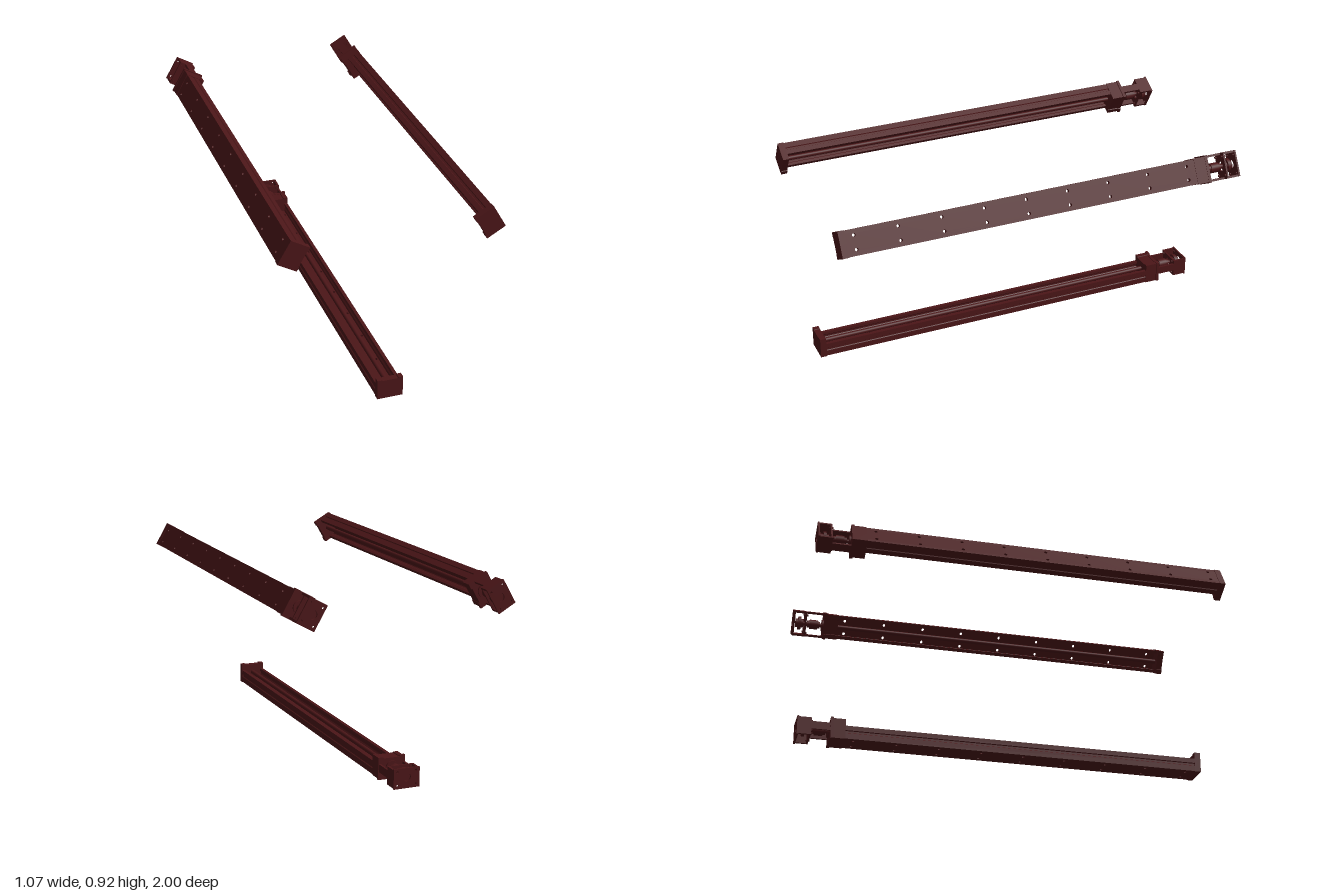
import * as THREE from 'three';

const mat = new THREE.MeshStandardMaterial({ color: 0x4c1618 });

function add(parent, name, geo, x = 0, y = 0, z = 0) {
  const m = new THREE.Mesh(geo, mat);
  m.name = name;
  m.position.set(x, y, z);
  parent.add(m);
  return m;
}

// box given by its limits on each axis
function box(parent, name, x0, x1, y0, y1, z0, z1) {
  return add(parent, name, new THREE.BoxGeometry(x1 - x0, y1 - y0, z1 - z0),
    (x0 + x1) / 2, (y0 + y1) / 2, (z0 + z1) / 2);
}

// cylinder along z between z0 and z1
function rod(parent, name, r, z0, z1, y, x = 0, sides = 24) {
  const g = new THREE.CylinderGeometry(r, r, z1 - z0, sides).rotateX(Math.PI / 2);
  return add(parent, name, g, x, y, (z0 + z1) / 2);
}

// outline mirrored in x, extruded along z
function mirroredExtrude(half, z0, z1) {
  const pts = [...half, ...half.map(([x, y]) => [-x, y]).reverse()];
  const shape = new THREE.Shape(pts.map(p => new THREE.Vector2(...p)));
  return new THREE.ExtrudeGeometry(shape, { depth: z1 - z0, bevelEnabled: false }).translate(0, 0, z0);
}

function hole(x, y, r) {
  return new THREE.Path().absarc(x, y, r, 0, Math.PI * 2, true);
}

// flat plate in the xy plane with round holes
function plate(parent, name, w, y0, y1, z0, z1, holes) {
  const s = new THREE.Shape([[-w, y0], [w, y0], [w, y1], [-w, y1]].map(p => new THREE.Vector2(...p)));
  holes.forEach(h => s.holes.push(hole(...h)));
  add(parent, name, new THREE.ExtrudeGeometry(s, { depth: z1 - z0, bevelEnabled: false, curveSegments: 10 }), 0, 0, z0);
}

const SCREW_Y = 0.056;

function createActuator() {
  const g = new THREE.Group();
  const z0 = -0.775, z1 = 0.97;

  // bed of the channel, with two rows of through holes
  const bed = new THREE.Shape([[-0.05, z0], [0.05, z0], [0.05, z1], [-0.05, z1]].map(p => new THREE.Vector2(...p)));
  for (let i = 0; i < 9; i++)
    for (const s of [-1, 1]) bed.holes.push(hole(s * 0.033, 0.93 - i * 0.207, 0.008));
  const bedGeo = new THREE.ExtrudeGeometry(bed, { depth: 0.018, bevelEnabled: false, curveSegments: 8 });
  add(g, 'railBed', bedGeo.rotateX(Math.PI / 2), 0, 0.022, 0);

  // side walls with a ball track inside and a slot outside
  for (const s of [-1, 1]) {
    const pts = [[0.045, 0.004], [0.06, 0.004], [0.06, 0.032], [0.056, 0.035], [0.056, 0.044], [0.06, 0.047],
      [0.06, 0.07], [0.044, 0.07], [0.044, 0.056], [0.049, 0.05], [0.049, 0.042], [0.044, 0.036], [0.044, 0.022]];
    const shape = new THREE.Shape(pts.map(([x, y]) => new THREE.Vector2(s * x, y)));
    add(g, 'railWall', new THREE.ExtrudeGeometry(shape, { depth: z1 - z0, bevelEnabled: false }), 0, 0, z0);
  }
  rod(g, 'leadScrew', 0.011, -0.78, 0.975, SCREW_Y);

  // end housings: outer corners stand slightly above the middle
  const housing = [[0, 0.002], [0.062, 0.002], [0.062, 0.102], [0.04, 0.102], [0.038, 0.098], [0, 0.098]];
  add(g, 'endPlate', mirroredExtrude(housing, 0.97, 1));
  add(g, 'bearingHousing', mirroredExtrude(housing, -0.83, -0.77));
  add(g, 'mountingFlange', mirroredExtrude(
    [[0, 0], [0.067, 0], [0.067, 0.106], [0.041, 0.106], [0.039, 0.1], [0, 0.1]], -0.842, -0.828));
  rod(g, 'bearingCap', 0.03, -0.85, -0.84, SCREW_Y);

  // motor bracket: two arms, a front plate and a shallow open frame
  for (const s of [-1, 1]) {
    const a = s * 0.054, b = s * 0.064;
    box(g, 'bracketArm', Math.min(a, b), Math.max(a, b), 0.038, 0.076, -0.935, -0.84);
    box(g, 'frameSide', Math.min(a, b), Math.max(a, b), 0.008, 0.094, -1, -0.935);
    // bolts holding the frame
    for (const y of [0.02, 0.084]) rod(g, 'frameBolt', 0.005, -0.945, -0.925, y, s * 0.045, 8);
  }
  plate(g, 'frameFront', 0.064, 0.008, 0.094, -0.94, -0.932, [[0, SCREW_Y, 0.024]]);
  plate(g, 'motorPlate', 0.064, 0.004, 0.098, -1, -0.992,
    [[0, SCREW_Y, 0.02], [0.045, 0.02, 0.005], [-0.045, 0.02, 0.005], [0.045, 0.084, 0.005], [-0.045, 0.084, 0.005]]);

  // shaft coupling
  rod(g, 'driveShaft', 0.01, -0.985, -0.84, SCREW_Y);
  rod(g, 'couplingHub', 0.024, -0.912, -0.872, SCREW_Y);
  rod(g, 'couplingCollar', 0.018, -0.925, -0.86, SCREW_Y);
  rod(g, 'couplingDisc', 0.034, -0.972, -0.958, SCREW_Y);
  rod(g, 'couplingDisc', 0.022, -0.985, -0.945, SCREW_Y);
  return g;
}

export function createModel() {
  const model = new THREE.Group();
  model.name = 'linearActuatorSet';
  // three actuators spaced evenly round a central axis, channels facing inward
  const axisY = 0.577;
  ['bottomActuator', 'leftActuator', 'rightActuator'].forEach((name, i) => {
    const pivot = new THREE.Group();
    const act = createActuator();
    act.position.y = -axisY;
    pivot.name = name;
    pivot.position.y = axisY;
    pivot.rotation.z = i * Math.PI * 2 / 3;
    pivot.add(act);
    model.add(pivot);
  });
  return model;
}
